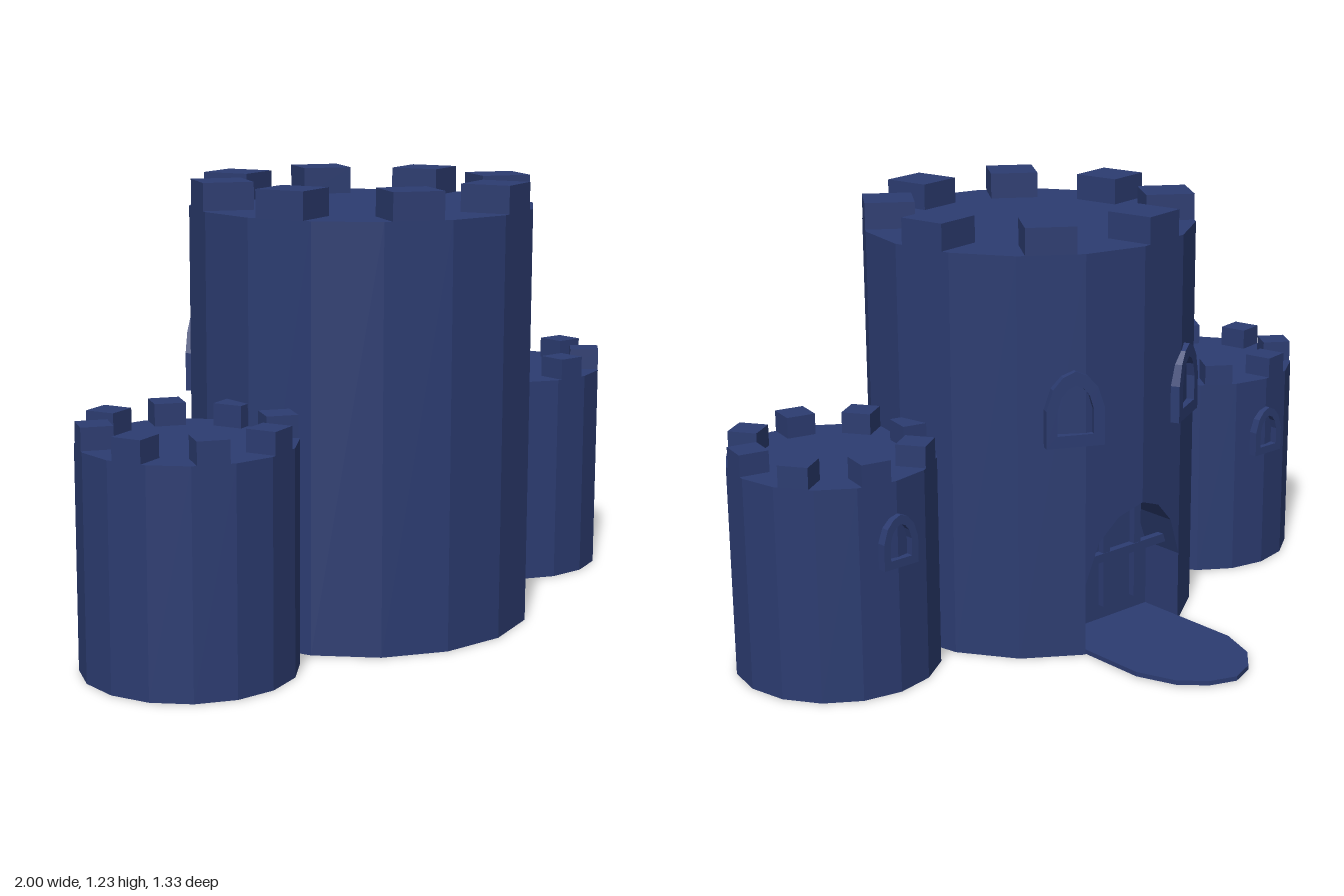
import * as THREE from 'three';

// Double-sided because the towers are open shells underneath
const stone = new THREE.MeshStandardMaterial({ color: 0x2c3c71, flatShading: true, side: THREE.DoubleSide });
stone.name = 'dark blue stone';

const CZ = 0.1865;             // centre line of the towers
const STEP = Math.PI / 8;      // one facet of the 16-sided towers
const R = 0.4775, H = 1.15;    // keep radius and height
const HALF = R * Math.sin(STEP);
const EDGE_Z = CZ - R * Math.cos(STEP), TIP_Z = CZ - R;
const RECESS_Z = -0.12;

function add(parent, geometry, name, x = 0, y = 0, z = 0) {
  const mesh = new THREE.Mesh(geometry, stone);
  mesh.name = name;
  mesh.position.set(x, y, z);
  parent.add(mesh);
  return mesh;
}

// Half outline of a round-topped opening, from the foot to the crown
const archHalf = (w, h) => [
  [w / 2, 0], [w / 2, h * 0.5], [w * 0.385, h * 0.775], [w * 0.21, h * 0.93], [0, h],
];
function archPoints(w, h) {
  const half = archHalf(w, h);
  return [...half, ...half.slice(0, -1).reverse().map(([x, y]) => [-x, y])];
}
const toVectors = (pts, dy = 0) => pts.map(([x, y]) => new THREE.Vector2(x, y + dy));
const archShape = (w, h) => new THREE.Shape(toVectors(archPoints(w, h)));

// Open-bottomed wall and its flat roof; the wall may cover only part of the circle
function shell(parent, r, h, facets, start) {
  add(parent, new THREE.CylinderGeometry(r, r, h, facets, 1, true, start, facets * STEP), 'towerWall', 0, h / 2);
  add(parent, new THREE.CircleGeometry(r, 16).rotateX(-Math.PI / 2), 'towerRoof', 0, h);
}

// Ring of eight blocks, set on every second facet
function battlements(parent, r, y, size, height, side) {
  const d = r * Math.cos(STEP / 2) - size / 2;
  for (let i = 0; i < 8; i++) {
    const a = Math.PI + side * (STEP / 2 + i * 2 * STEP);
    const block = add(parent, new THREE.BoxGeometry(size, height, size), 'battlement',
      Math.sin(a) * d, y + height / 2, Math.cos(a) * d);
    block.rotation.y = a;
  }
}

// Arched window frame, its outer face at the given distance from the tower axis
function windowFrame(parent, angle, dist, y, w, h, depth) {
  const shape = archShape(w, h);
  shape.holes.push(new THREE.Path(toVectors(archPoints(w * 0.62, h * 0.66), h * 0.16).reverse()));
  const frame = add(parent, new THREE.ExtrudeGeometry(shape, { depth, bevelEnabled: false }),
    'windowFrame', Math.sin(angle) * (dist - depth), y, Math.cos(angle) * (dist - depth));
  frame.rotation.y = angle;
}

// Wall around the doorway and the sides of its recess
function doorwayGeometry(pts) {
  const pos = [];
  const wallZ = (x) => TIP_Z + (EDGE_Z - TIP_Z) * Math.abs(x) / HALF;
  const quad = (a, b, c, d) => pos.push(...a, ...b, ...c, ...a, ...c, ...d);
  for (let i = 0; i < pts.length - 1; i++) {
    const [x0, y0] = pts[i], [x1, y1] = pts[i + 1];
    const a = [x0, y0, wallZ(x0)], b = [x1, y1, wallZ(x1)];
    if (x0 !== x1) quad(a, b, [x1, H, wallZ(x1)], [x0, H, wallZ(x0)]);
    quad(b, a, [x0, y0, RECESS_Z], [x1, y1, RECESS_Z]);
  }
  const g = new THREE.BufferGeometry();
  g.setAttribute('position', new THREE.Float32BufferAttribute(pos, 3));
  g.computeVertexNormals();
  return g;
}

export function createModel() {
  const model = new THREE.Group();
  model.name = 'castle';

  // Central keep, open at the two doorway facets
  const keep = new THREE.Group();
  keep.name = 'keep';
  keep.position.z = CZ;
  model.add(keep);
  shell(keep, R, H, 14, Math.PI + STEP);
  battlements(keep, R, H, 0.14, 0.075, 1);
  for (const s of [-1, 1]) windowFrame(keep, Math.PI + s * 0.46, 0.489, 0.62, 0.165, 0.213, 0.06);

  // Doorway, recess, portcullis and drawbridge
  const gate = new THREE.Group();
  gate.name = 'gate';
  model.add(gate);
  const doorW = HALF * 2, doorH = 0.42;
  add(gate, doorwayGeometry(archPoints(doorW, doorH)), 'doorway');
  add(gate, new THREE.ShapeGeometry(archShape(doorW, doorH)).rotateY(Math.PI), 'recessBack', 0, 0, RECESS_Z);
  const floorDepth = RECESS_Z - EDGE_Z;
  add(gate, new THREE.BoxGeometry(doorW, 0.013, floorDepth), 'recessFloor', 0, 0.0095, EDGE_Z + floorDepth / 2);
  for (const x of [-0.06, 0.06]) {
    add(gate, new THREE.BoxGeometry(0.025, 0.3, 0.02), 'portcullisBar', x, 0.25, -0.2);
  }
  add(gate, new THREE.BoxGeometry(doorW - 0.01, 0.025, 0.022), 'portcullisCrossbar', 0, 0.25, -0.2);
  const bridge = new THREE.ExtrudeGeometry(archShape(doorW, 0.41), { depth: 0.013, bevelEnabled: false });
  add(gate, bridge.rotateX(-Math.PI / 2), 'drawbridge', 0, 0.003, EDGE_Z);

  // Mirrored side towers
  for (const s of [-1, 1]) {
    const tower = new THREE.Group();
    tower.name = s > 0 ? 'leftTower' : 'rightTower';
    tower.position.set(s * 0.713, 0, CZ);
    shell(tower, 0.287, 0.6, 16, 0);
    battlements(tower, 0.287, 0.6, 0.084, 0.06, -s);
    windowFrame(tower, Math.PI, 0.302, 0.365, 0.112, 0.146, 0.04);
    model.add(tower);
  }
  return model;
}
